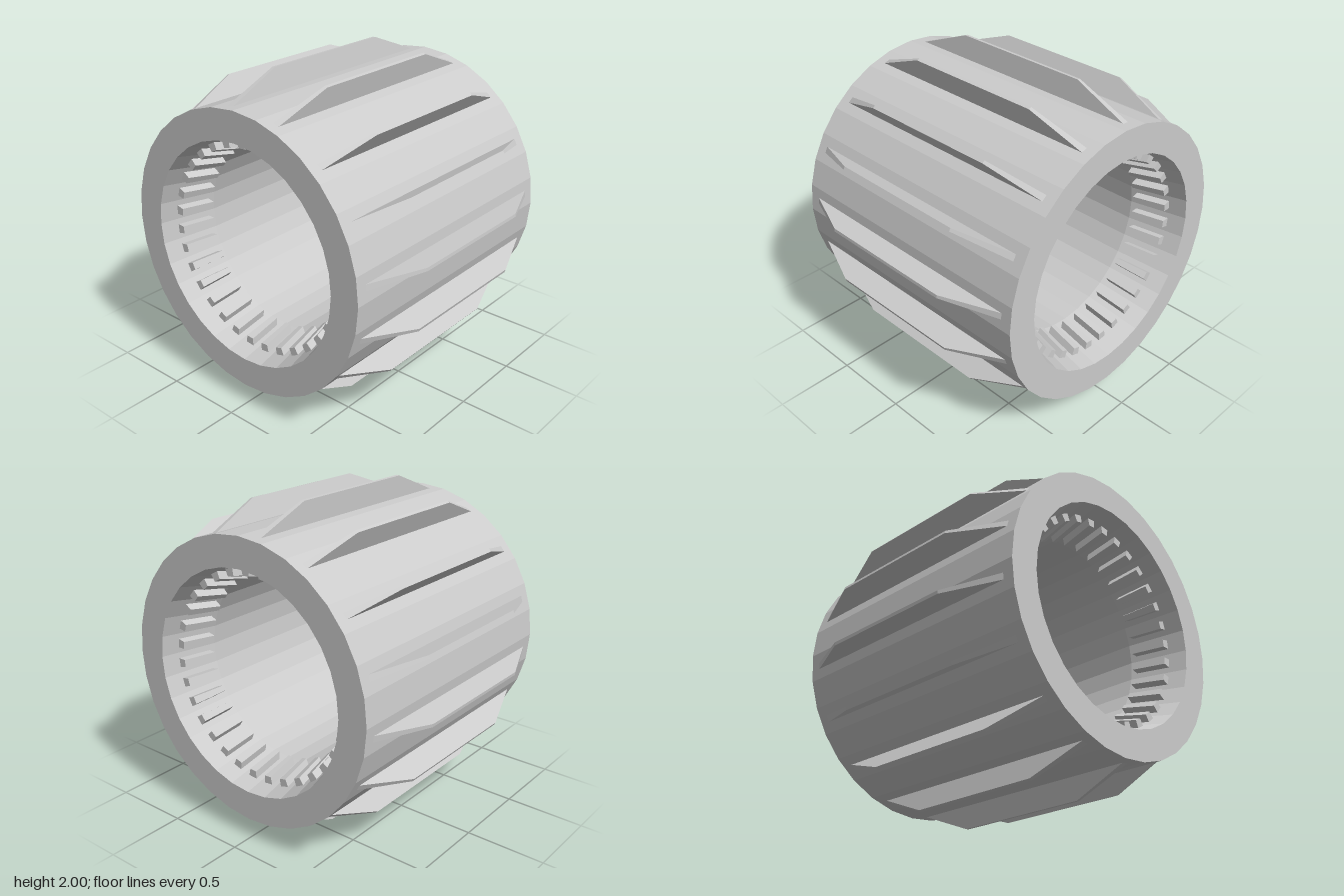
import * as THREE from 'three';

const SIDES = 32;
const STEP = (Math.PI * 2) / SIDES;
const HALF = 0.87; // half length of the sleeve
const CONE = 0.22; // slope of the flared bore ends
const material = new THREE.MeshStandardMaterial({ color: 0xcccccc, flatShading: true });

// Box whose corners are placed by a rule: place(outer, front) gives { r, z, w }
function taperedBar(place) {
  const geo = new THREE.BoxGeometry(1, 1, 1);
  const p = geo.attributes.position;
  for (let i = 0; i < p.count; i++) {
    const { r, z, w } = place(p.getY(i) > 0, p.getZ(i) > 0);
    p.setXYZ(i, Math.sign(p.getX(i)) * w / 2, r, z);
  }
  geo.computeVertexNormals();
  return geo;
}

// Repeats a bar around the z axis
function ring(name, geo, count) {
  const group = new THREE.Group();
  group.name = name + 's';
  for (let i = 0; i < count; i++) {
    const mesh = new THREE.Mesh(geo, material);
    mesh.name = name;
    mesh.rotation.z = STEP / 2 + (i * Math.PI * 2) / count;
    group.add(mesh);
  }
  return group;
}

export function createModel() {
  const model = new THREE.Group();
  model.name = 'finnedSleeve';

  // Thick tube with a bore that flares at both ends
  const flare = HALF - 0.36;
  const profile = [
    [0.87, -HALF], [0.87, HALF], [0.685, HALF], [0.606, flare],
    [0.606, -flare], [0.685, -HALF], [0.87, -HALF],
  ].map(([r, y]) => new THREE.Vector2(r, y));
  const bodyGeo = new THREE.LatheGeometry(profile, SIDES);
  bodyGeo.rotateX(Math.PI / 2);
  const body = new THREE.Mesh(bodyGeo, material);
  body.name = 'sleeve';
  model.add(body);

  // Outer fins: thinner and shorter towards the tip
  const fin = taperedBar((outer, front) => ({
    r: outer ? 1.0045 : 0.85,
    z: (front ? 1 : -1) * (outer ? 0.45 : 0.84),
    w: outer ? 0.02 : 0.042,
  }));
  model.add(ring('outerFin', fin, 16));

  // Bore teeth: follow the flare at each end
  const tooth = taperedBar((outer, front) => {
    const depth = front ? 0.11 : 0.32;
    const bore = 0.685 - CONE * depth;
    const r = outer ? bore + 0.01 : bore - 0.05;
    return { r, z: HALF - depth, w: 0.058 + (r - 0.66) * 0.24 };
  });
  const frontTeeth = ring('frontTooth', tooth, SIDES);
  const backTeeth = ring('backTooth', tooth, SIDES);
  backTeeth.rotation.y = Math.PI;
  model.add(frontTeeth, backTeeth);

  model.position.y = 1;
  const root = new THREE.Group();
  root.add(model);
  return root;
}
